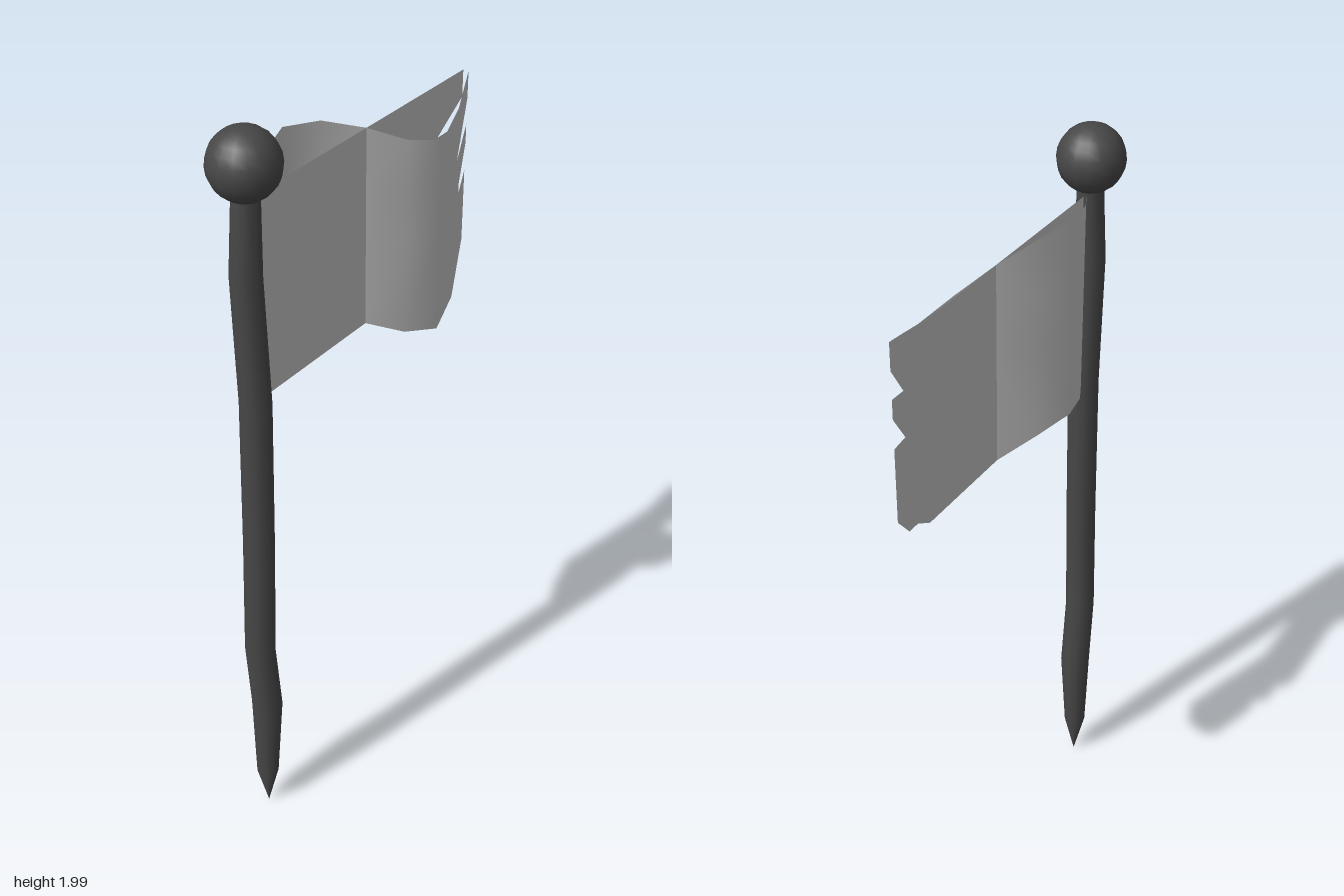
import * as THREE from 'three';

export function createModel() {
  const group = new THREE.Group();
  const dark = new THREE.MeshStandardMaterial({ color: 0x474747 });
  dark.name = 'charcoal';
  const cloth = new THREE.MeshStandardMaterial({ color: 0xc2c2c2, side: THREE.DoubleSide });
  cloth.name = 'light grey cloth';

  const add = (name, geometry, material) => {
    const mesh = new THREE.Mesh(geometry, material);
    mesh.name = name;
    group.add(mesh);
    return mesh;
  };

  // Crooked pole: [height, centre x, radius], pointed at the foot
  const rings = [
    [0.01, -0.38, 0], [0.13, -0.38, 0.029], [0.37, -0.372, 0.04], [0.57, -0.391, 0.039],
    [0.9, -0.38, 0.039], [1.31, -0.372, 0.039], [1.65, -0.388, 0.038], [1.87, -0.377, 0.032],
  ];
  const pole = new THREE.LatheGeometry(rings.map(([y, , r]) => new THREE.Vector2(r, y)), 12);
  const p = pole.attributes.position;
  for (let i = 0; i < p.count; i++) p.setX(i, p.getX(i) + rings[i % rings.length][1]);
  pole.computeVertexNormals();
  add('pole', pole, dark);

  // Ball on top of the pole
  add('finial', new THREE.SphereGeometry(0.084, 16, 12), dark).position.set(-0.379, 1.916, 0);

  // Cloth sheets: columns of [x, wave depth z, wave lift y]
  const columns = [
    [-0.36, 0, 0], [-0.24, -0.062, 0.035], [-0.14, -0.088, 0.052], [-0.04, -0.058, 0.038],
    [0.055, 0, 0], [0.145, 0.055, -0.05], [0.245, 0.084, -0.08], [0.35, 0.058, -0.047],
  ];
  const rows = [1.83, 1.69, 1.57, 1.31];
  // Torn end: top and bottom of each tongue
  const tongues = [[1.83, 1.76], [1.69, 1.64], [1.565, 1.37]];

  function sheet(wave) {
    const positions = [], index = [];
    for (const [x, z, lift] of columns)
      for (const y of rows) positions.push(x, y + lift * wave, z * wave);
    const quad = (a, b, c, d) => index.push(a, b, d, b, c, d);
    const n = rows.length;
    for (let c = 0; c < columns.length - 1; c++)
      for (let r = 0; r < n - 1; r++) {
        const i = c * n + r;
        quad(i, i + 1, i + n + 1, i + n);
      }
    tongues.forEach(([top, bottom], r) => {
      const i = (columns.length - 1) * n + r, j = positions.length / 3;
      positions.push(0.455, top, 0.015 * wave, 0.455, bottom, 0.015 * wave);
      quad(i, i + 1, j + 1, j);
    });
    const geometry = new THREE.BufferGeometry();
    geometry.setAttribute('position', new THREE.Float32BufferAttribute(positions, 3));
    geometry.setIndex(index);
    geometry.computeVertexNormals();
    return geometry;
  }

  add('flatFlag', sheet(0), cloth);
  add('wavingFlag', sheet(1), cloth);
  return group;
}
